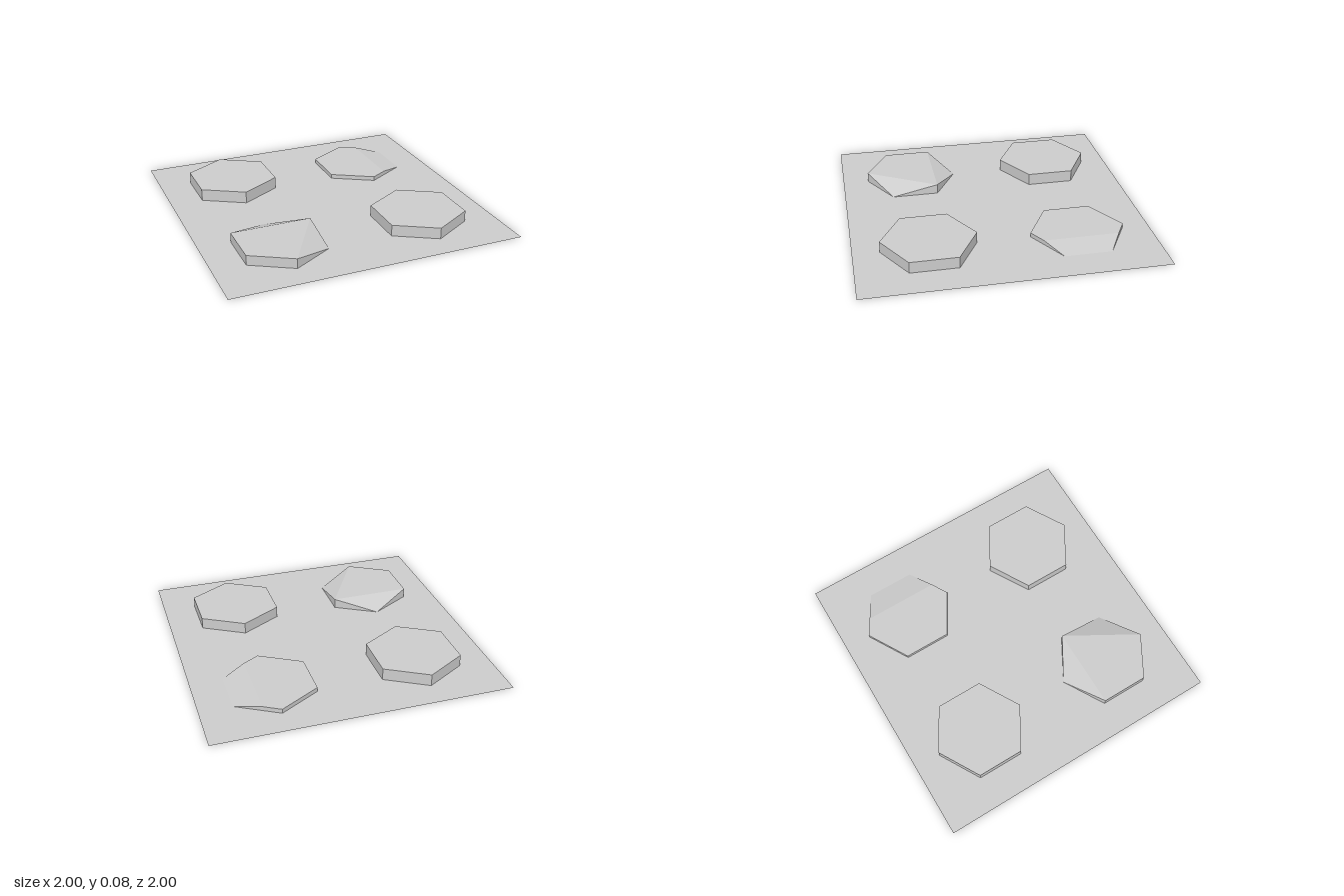
import * as THREE from 'three';

const RADIUS = 0.32;
const material = new THREE.MeshStandardMaterial({ color: 0xcccccc, flatShading: true });

// Corner i of a hexagon with points toward +z and -z, counter-clockwise seen from above
function corner(i, height) {
  const a = (i * Math.PI) / 3;
  return new THREE.Vector3(RADIUS * Math.sin(a), height, RADIUS * Math.cos(a));
}

// Prism standing on y = 0: rim points carry their own heights, facets are convex loops of rim indices
function tile(name, x, z, rim, facets) {
  const pos = [];
  const tri = (...pts) => pts.forEach((p) => pos.push(p.x, p.y, p.z));
  rim.forEach((a, i) => {
    const b = rim[(i + 1) % rim.length];
    const a0 = a.clone().setY(0);
    const b0 = b.clone().setY(0);
    if (b.y > 0) tri(a0, b0, b);
    if (a.y > 0) tri(a0, b, a);
  });
  for (const f of facets) {
    for (let k = 1; k < f.length - 1; k++) tri(rim[f[0]], rim[f[k]], rim[f[k + 1]]);
  }
  const geometry = new THREE.BufferGeometry();
  geometry.setAttribute('position', new THREE.Float32BufferAttribute(pos, 3));
  geometry.computeVertexNormals();
  const mesh = new THREE.Mesh(geometry, material);
  mesh.name = name;
  mesh.position.set(x, 0, z);
  return mesh;
}

const hexRim = (heights) => heights.map((h, i) => corner(i, h));

export function createModel() {
  const group = new THREE.Group();
  group.name = 'hexTileBoard';

  // Thin ground sheet
  const ground = new THREE.Mesh(
    new THREE.PlaneGeometry(2, 2).rotateX(-Math.PI / 2),
    new THREE.MeshStandardMaterial({ color: 0xcccccc, side: THREE.DoubleSide })
  );
  ground.name = 'groundSheet';
  group.add(ground);

  // Two flat-topped tiles
  const flat = [[0, 1, 2, 3, 4, 5]];
  group.add(tile('flatTileFront', 0.5, 0.5, hexRim(Array(6).fill(0.078)), flat));
  group.add(tile('flatTileBack', -0.5, -0.5, hexRim(Array(6).fill(0.083)), flat));

  // Tile with two corners folded down to the ground
  const h = 0.068;
  group.add(tile('foldedCornerTile', -0.5, 0.5, hexRim([h, 0, h, 0, h, h]),
    [[0, 1, 2], [2, 3, 4], [0, 2, 4, 5]]));

  // Low tile whose +x edge ramps down to the ground
  const low = 0.03;
  const c = hexRim([low, 0, 0, low, low, low]);
  const foldFront = c[0].clone().lerp(c[1], 0.4).setY(low);
  const foldBack = c[3].clone().lerp(c[2], 0.4).setY(low);
  const rampRim = [c[0], foldFront, c[1], c[2], foldBack, c[3], c[4], c[5]];
  group.add(tile('rampTile', 0.5, -0.5, rampRim, [[0, 1, 4, 5, 6, 7], [1, 2, 3, 4]]));

  return group;
}
